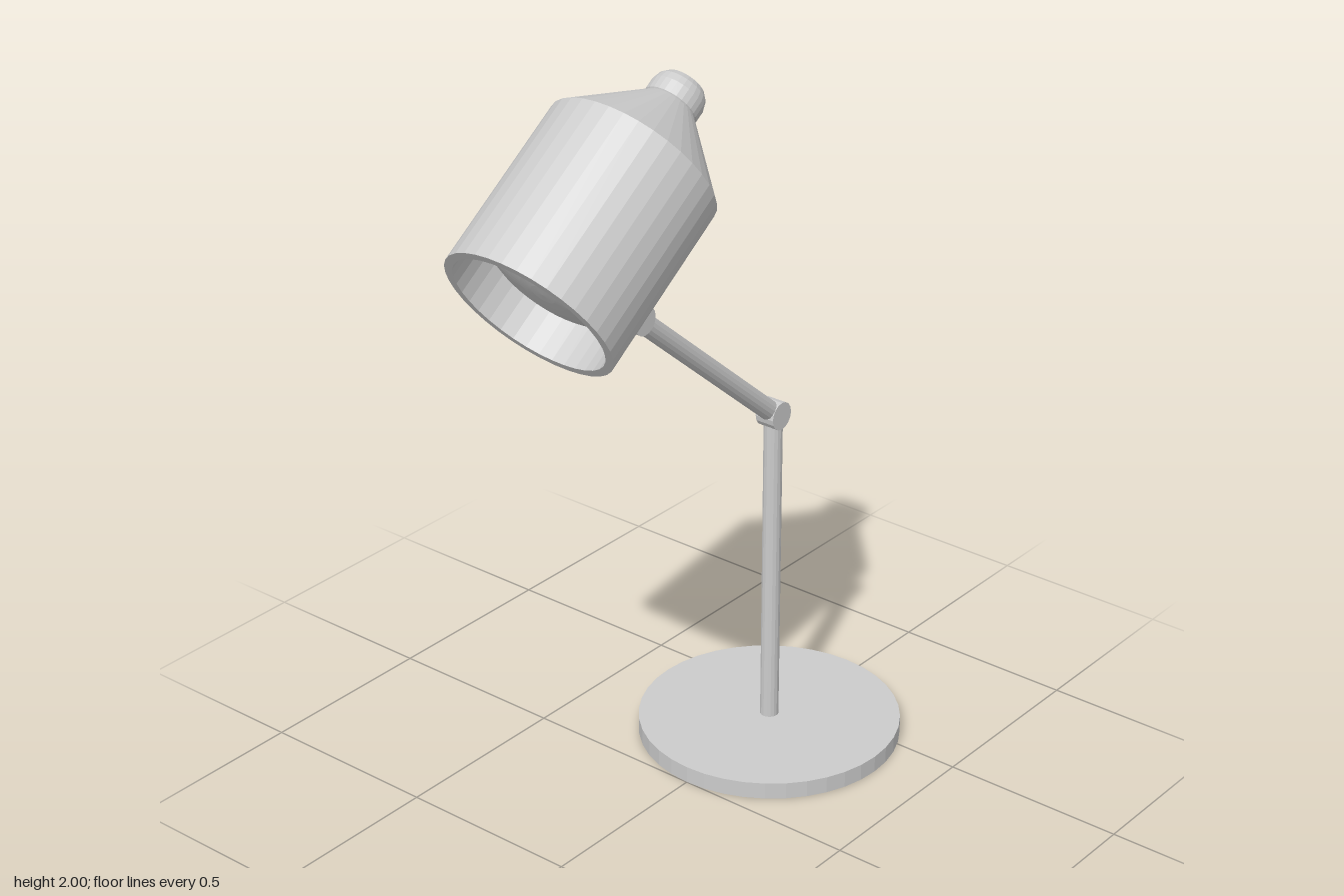
import * as THREE from 'three';

const material = new THREE.MeshStandardMaterial({ color: 0xcccccc, flatShading: true });
const profile = (pairs) => pairs.map(([r, y]) => new THREE.Vector2(r, y));

export function createModel() {
  const lamp = new THREE.Group();
  lamp.name = 'deskLamp';

  const add = (name, geometry, parent = lamp) => {
    const mesh = new THREE.Mesh(geometry, material);
    mesh.name = name;
    parent.add(mesh);
    return mesh;
  };

  // Round rod between two points
  const rod = (name, from, to, radius) => {
    const dir = to.clone().sub(from);
    const mesh = add(name, new THREE.CylinderGeometry(radius, radius, dir.length(), 16));
    mesh.position.copy(from).addScaledVector(dir, 0.5);
    mesh.quaternion.setFromUnitVectors(new THREE.Vector3(0, 1, 0), dir.normalize());
  };

  // Hinge barrel lying across the lamp
  const hinge = (name, at) => {
    const mesh = add(name, new THREE.CylinderGeometry(0.038, 0.038, 0.056, 16));
    mesh.rotation.z = Math.PI / 2;
    mesh.position.copy(at);
  };

  const tilt = THREE.MathUtils.degToRad(55);
  const foot = new THREE.Vector3(0, 0.04, -0.352);
  const elbow = new THREE.Vector3(0, 0.945, -0.352);
  const wrist = new THREE.Vector3(0, 1.407, 0.19);
  const neckDir = new THREE.Vector3(0, Math.sin(tilt), Math.cos(tilt));

  // Base disc
  add('base', new THREE.CylinderGeometry(0.352, 0.352, 0.046, 40)).position.set(0, 0.023, -0.352);

  // Stand, arm and neck with their hinges
  rod('post', foot, elbow, 0.025);
  rod('arm', elbow, wrist, 0.027);
  rod('neck', wrist, wrist.clone().addScaledVector(neckDir, 0.12), 0.026);
  hinge('elbowHinge', elbow);
  hinge('wristHinge', wrist);

  // Tilted head: local y runs from the opening to the cap
  const head = new THREE.Group();
  head.name = 'head';
  head.position.set(0, 1.549, 0.571);
  head.rotation.x = -tilt;
  lamp.add(head);

  // Shade: inner wall, rim, outer wall and cone in one profile
  add('shade', new THREE.LatheGeometry(profile([
    [0.206, 0.3], [0.206, 0], [0.228, 0], [0.228, 0.455], [0.068, 0.62],
  ]), 36), head);

  // Rounded cap on the cone
  add('cap', new THREE.LatheGeometry(profile([
    [0.064, 0.615], [0.071, 0.622], [0.071, 0.655], [0.065, 0.675],
    [0.052, 0.69], [0.035, 0.697], [0, 0.699],
  ]), 28), head);

  // Shallow dome of the bulb filling the shade
  const bulb = add('bulb', new THREE.SphereGeometry(0.206, 36, 20), head);
  bulb.scale.y = 0.39;
  bulb.position.y = 0.14;

  return lamp;
}
